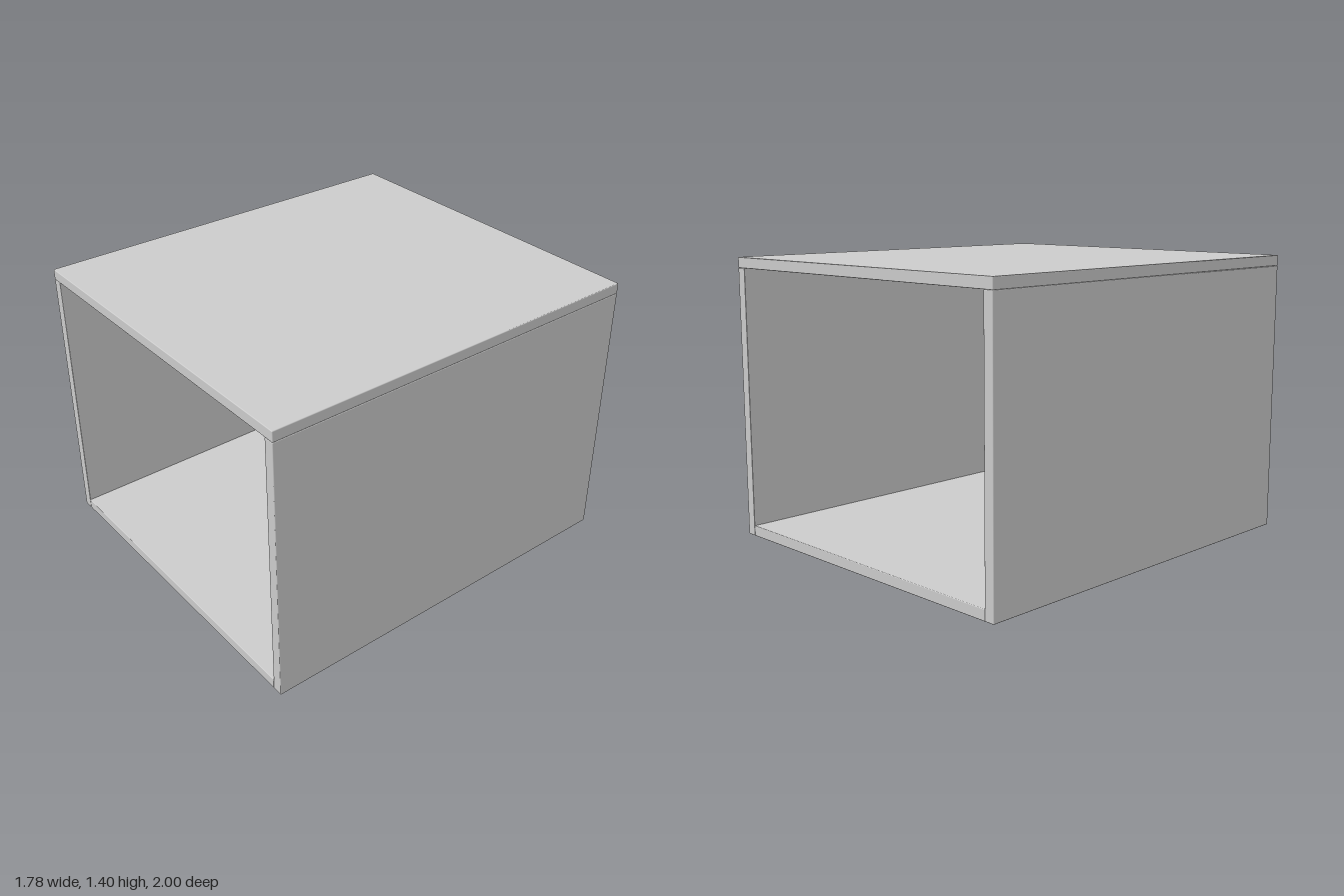
import * as THREE from 'three';
import { RoundedBoxGeometry } from 'three/addons/geometries/RoundedBoxGeometry.js';

const WIDTH = 1.78, HEIGHT = 1.4, DEPTH = 2, BOARD = 0.053, EDGE = 0.004;

export function createModel() {
  const group = new THREE.Group();
  group.name = 'openBox';
  const material = new THREE.MeshStandardMaterial({ color: 0xcccccc });

  // A board running the full depth, with slightly eased edges
  const addBoard = (name, width, height, x, y) => {
    const board = new THREE.Mesh(new RoundedBoxGeometry(width, height, DEPTH, 2, EDGE), material);
    board.name = name;
    board.position.set(x, y, 0);
    group.add(board);
  };

  // Top lies over the sides; bottom fits between them
  addBoard('topPanel', WIDTH, BOARD, 0, HEIGHT - BOARD / 2);
  addBoard('bottomPanel', WIDTH - 2 * BOARD, BOARD, 0, BOARD / 2);

  // Mirrored side walls
  const wallHeight = HEIGHT - BOARD;
  for (const [name, side] of [['leftPanel', 1], ['rightPanel', -1]]) {
    addBoard(name, BOARD, wallHeight, side * (WIDTH - BOARD) / 2, wallHeight / 2);
  }
  return group;
}
